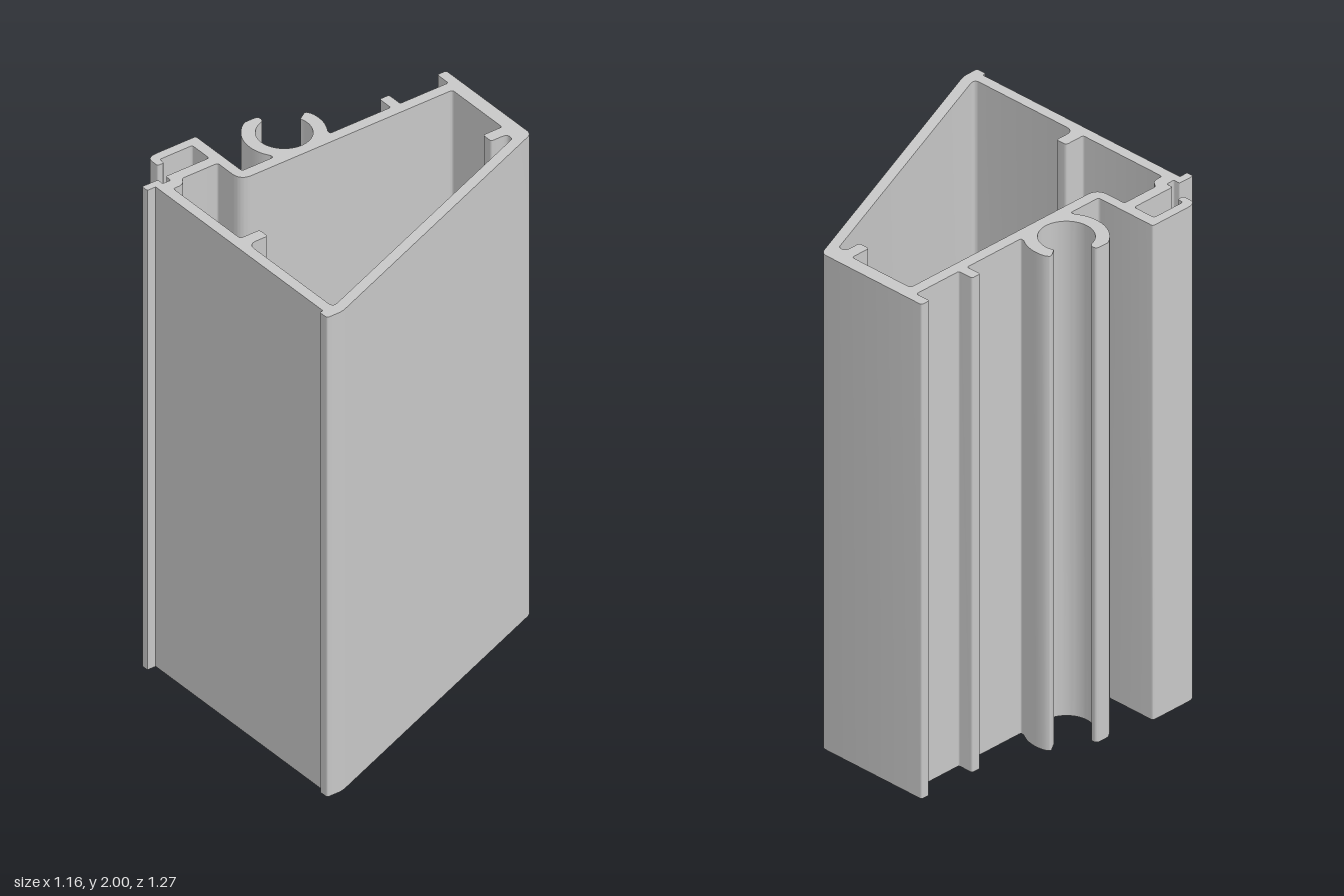
import * as THREE from 'three';
import { toCreasedNormals } from 'three/addons/utils/BufferGeometryUtils.js';

const HEIGHT = 2;

// Traces a closed outline of [x, z, cornerRadius] points; shape y is -z.
function trace(path, points) {
  const pts = points.map(([x, z, r = 0]) => ({ p: new THREE.Vector2(x, -z), r }));
  const n = pts.length;
  const toward = (a, b, r) => {
    const d = b.clone().sub(a);
    const len = d.length();
    return a.clone().addScaledVector(d, Math.min(r, len * 0.49) / len);
  };
  pts.forEach(({ p, r }, i) => {
    const a = toward(p, pts[(i + n - 1) % n].p, r);
    const b = toward(p, pts[(i + 1) % n].p, r);
    if (i === 0) path.moveTo(a.x, a.y);
    else path.lineTo(a.x, a.y);
    if (r > 0) path.quadraticCurveTo(p.x, p.y, b.x, b.y);
  });
  path.closePath();
  return path;
}

// Points on the screw channel, angles in degrees from +x towards +z.
function channelArc(radius, from, to) {
  const steps = Math.ceil(Math.abs(to - from) / 5);
  return Array.from({ length: steps + 1 }, (_, i) => {
    const a = THREE.MathUtils.degToRad(from + ((to - from) * i) / steps);
    return [-0.418 + radius * Math.cos(a), 0.041 + radius * Math.sin(a)];
  });
}

export function createModel() {
  const group = new THREE.Group();
  group.name = 'extrudedProfile';
  const aluminium = new THREE.MeshStandardMaterial({ color: 0xc7c7c7 });
  aluminium.name = 'aluminium grey';

  const outline = trace(new THREE.Shape(), [
    // back wall, sloping side and front corner foot
    [-0.382, -0.634, 0.01], [0.104, -0.634, 0.024], [0.582, 0.546, 0.02],
    [0.582, 0.613, 0.01], [0.54, 0.613, 0.008], [0.54, 0.598, 0.008],
    // front lip and notch
    [-0.418, 0.598], [-0.418, 0.634, 0.006], [-0.448, 0.634, 0.006],
    [-0.448, 0.566, 0.006], [-0.42, 0.566, 0.006], [-0.42, 0.531, 0.006],
    [-0.449, 0.531, 0.006],
    // hooked flange
    [-0.449, 0.343, 0.01], [-0.545, 0.343, 0.01], [-0.545, 0.485, 0.01],
    [-0.519, 0.485, 0.008], [-0.519, 0.513, 0.008], [-0.582, 0.513, 0.045],
    [-0.582, 0.3, 0.01], [-0.318, 0.3, 0.01],
    // open round screw channel
    [-0.318, 0.163, 0.01],
    ...channelArc(0.15, 56, 152),
    [-0.55, 0.055, 0.018], [-0.52, 0.055, 0.015],
    ...channelArc(0.1, 156, -109),
    [-0.476, -0.093, 0.012],
    ...channelArc(0.15, -104, -56),
    [-0.318, -0.081, 0.01],
    // small rib and back lip
    [-0.318, -0.345, 0.008], [-0.382, -0.345, 0.01], [-0.382, -0.386, 0.01],
    [-0.318, -0.386, 0.008], [-0.318, -0.595, 0.01], [-0.382, -0.595, 0.01],
  ]);

  // hollow chamber with a rib on the back and front walls
  outline.holes.push(trace(new THREE.Path(), [
    [-0.274, 0.339, 0.05], [-0.405, 0.339, 0.01], [-0.405, 0.492, 0.008],
    [-0.373, 0.513, 0.03], [-0.373, 0.556, 0.01], [0.01, 0.556, 0.01],
    [0.01, 0.472, 0.012], [0.057, 0.472, 0.012], [0.057, 0.556, 0.035],
    [0.541, 0.556, 0.03],
    [0.089, -0.564, 0.012], [0.057, -0.564, 0.025], [0.057, -0.496, 0.01],
    [0.01, -0.496, 0.01], [0.01, -0.579, 0.01], [-0.274, -0.579, 0.012],
  ]));

  let geometry = new THREE.ExtrudeGeometry(outline, {
    depth: HEIGHT, bevelEnabled: false, curveSegments: 12,
  });
  geometry.rotateX(-Math.PI / 2);
  geometry = toCreasedNormals(geometry, 0.3);

  const profile = new THREE.Mesh(geometry, aluminium);
  profile.name = 'hollowProfile';
  group.add(profile);
  return group;
}
